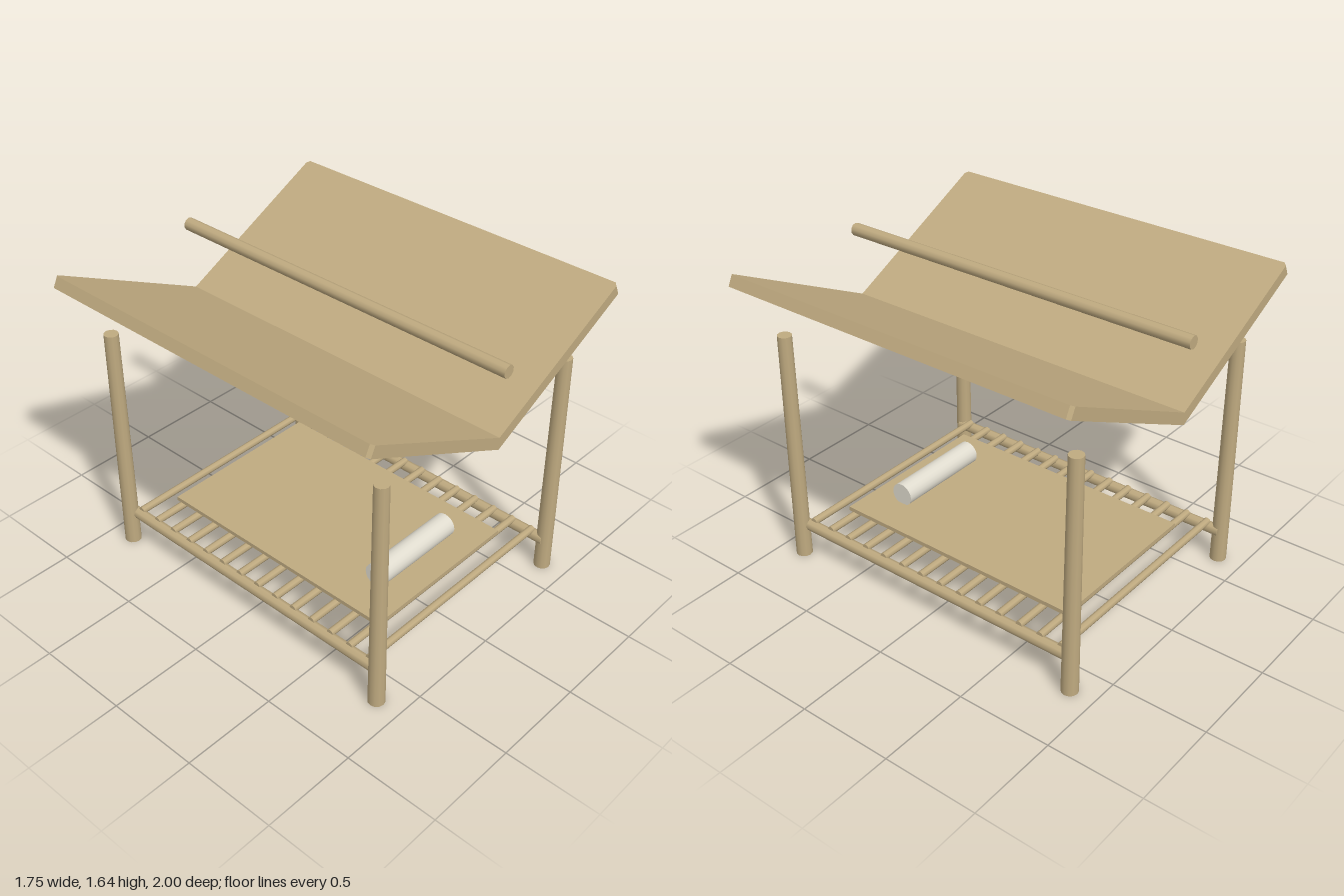
import * as THREE from 'three';

export function createModel() {
  const group = new THREE.Group();
  const wood = new THREE.MeshStandardMaterial({ color: 0xbfaa80 });
  wood.name = 'wood';
  const linen = new THREE.MeshStandardMaterial({ color: 0xe0dccf });
  linen.name = 'linen';

  const add = (name, geometry, material, x, y, z) => {
    const mesh = new THREE.Mesh(geometry, material);
    mesh.name = name;
    mesh.position.set(x, y, z);
    group.add(mesh);
    return mesh;
  };
  const rodX = (r, length, sides) => new THREE.CylinderGeometry(r, r, length, sides).rotateZ(Math.PI / 2);
  const rodZ = (r, length, sides) => new THREE.CylinderGeometry(r, r, length, sides).rotateX(Math.PI / 2);

  // Four tapered corner posts
  const post = new THREE.CylinderGeometry(0.037, 0.043, 1.28, 12);
  for (const x of [-0.655, 0.655])
    for (const z of [-0.865, 0.865]) add('post', post, wood, x, 0.64, z);

  // Side rails and the slats laid across them
  const rail = rodZ(0.03, 1.74, 8);
  for (const x of [-0.635, 0.635]) add('sideRail', rail, wood, x, 0.18, 0);
  const slat = rodX(0.02, 1.27, 8);
  const slatCount = 14;
  for (let i = 0; i < slatCount; i++)
    add('slat', slat, wood, 0, 0.21, -0.795 + (1.59 * i) / (slatCount - 1));

  // Sleeping mat and bolster pillow
  add('mat', new THREE.BoxGeometry(0.925, 0.022, 1.41), wood, 0, 0.239, 0);
  add('pillow', rodX(0.062, 0.535, 20), linen, 0, 0.304, 0.51);

  // V-shaped roof: each half is a plate with clipped outer corners, sheared up to its slope
  const outer = 0.85, half = 0.98, clip = 0.015;
  const plan = new THREE.Shape([
    [0, -half], [outer - clip, -half], [outer, -half + clip],
    [outer, half - clip], [outer - clip, half], [0, half],
  ].map(([x, z]) => new THREE.Vector2(x, z)));
  const roof = new THREE.ExtrudeGeometry(plan, { depth: 0.065, bevelEnabled: false }).rotateX(Math.PI / 2);
  const p = roof.attributes.position;
  for (let i = 0; i < p.count; i++) {
    let x = p.getX(i);
    if (x > 0.8 && p.getY(i) < -0.01) x += 0.026; // square the outer edge to the slope
    p.setXYZ(i, x, p.getY(i) + 0.493 * x, p.getZ(i));
  }
  roof.computeVertexNormals();
  add('roofLeft', roof, wood, 0, 1.22, 0);
  add('roofRight', roof, wood, 0, 1.22, 0).rotation.y = Math.PI;

  // Pole above the roof valley
  add('ridgePole', rodZ(0.033, 2, 10), wood, 0, 1.575, 0);

  return group;
}
